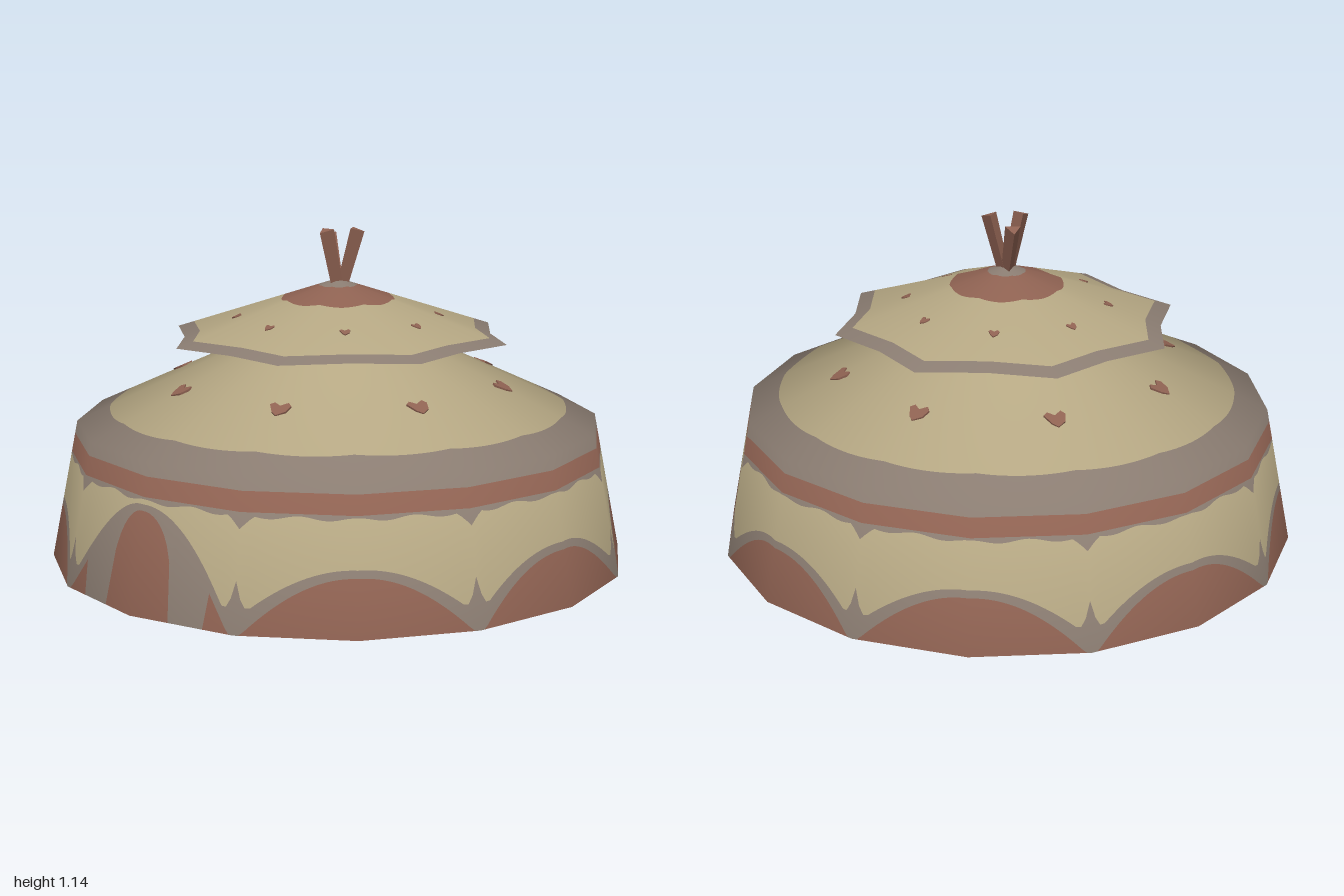
import * as THREE from 'three';

const SIDES = 16;          // facets round the tent
const SUB = 24;            // columns per facet, for the painted borders
const mat = (name, color) => new THREE.MeshStandardMaterial({ name, color, side: THREE.DoubleSide });

// Point on the rim polygon; a counts facets from the front towards +x
function rim(a, radius) {
  const i = Math.floor(a), f = a - i;
  const at = k => {
    const th = k * Math.PI * 2 / SIDES, r = radius(k);
    return new THREE.Vector2(Math.sin(th) * r, Math.cos(th) * r);
  };
  return at(i).lerp(at(i + 1), f);
}

// Smooth normal round the axis with a given upward tilt
const tilted = (a, e) => {
  const th = a * Math.PI * 2 / SIDES;
  return [Math.sin(th) * Math.cos(e), Math.sin(e), Math.cos(th) * Math.cos(e)];
};

// Strip of a surface between two borders lo(a) and hi(a)
function band(name, surface, lo, hi, material) {
  const pos = [], nor = [], idx = [], n = SIDES * SUB;
  for (let i = 0; i <= n; i++) {
    const a = i / SUB;
    for (const t of [lo(a), hi(a)]) {
      const s = surface(a, t);
      pos.push(...s.p);
      nor.push(...s.n);
    }
    if (i < n) idx.push(2 * i, 2 * i + 2, 2 * i + 3, 2 * i, 2 * i + 3, 2 * i + 1);
  }
  const g = new THREE.BufferGeometry();
  g.setAttribute('position', new THREE.Float32BufferAttribute(pos, 3));
  g.setAttribute('normal', new THREE.Float32BufferAttribute(nor, 3));
  g.setIndex(idx);
  const m = new THREE.Mesh(g, material);
  m.name = name;
  return m;
}

export function createModel() {
  const tan = mat('tan hide', 0xb5a783);
  const gray = mat('gray trim', 0x8b7d72);
  const red = mat('red brown', 0x8f6252);
  const model = new THREE.Group();
  model.name = 'tent';

  const EAVE_R = 0.905, EAVE_Y = 0.48, ROOF_TOP = 0.895;
  const E_WALL = 0.2, E_EAVE = 0.66, E_ROOF = 1.14;

  // Wall: t is the height
  const wall = (a, y) => {
    const k = y / EAVE_Y;
    const v = rim(a, () => 1 - (1 - EAVE_R) * k);
    return { p: [v.x, y, v.y], n: tilted(a, E_WALL + (E_EAVE - E_WALL) * k) };
  };

  // Painted borders on the wall
  const fromDoor = a => Math.min(a, SIDES - a);
  const fromArch = a => Math.abs(a - 2 * Math.round(a / 2));
  const redTop = a => {
    const d = fromDoor(a), u = fromArch(a);
    if (d < 0.37) return 0.33 * Math.pow(1 - (d / 0.37) ** 2, 0.35);
    if (d < 0.72) return 0;
    if (d < 0.95) return 0.13 * (0.95 - d) / 0.23;
    return Math.max(0, 0.185 * (1 - (u / 0.95) ** 2));
  };
  const grayTop = a => {
    const d = fromDoor(a), u = fromArch(a);
    const spike = 0.12 * Math.max(0, 1 - (1 - u) / 0.12) ** 2;
    const arch = 0.045 + 0.165 * (1 - u * u) + spike;
    return d < 1 ? Math.max(arch, 0.35 * (1 - d * d)) : arch;
  };
  const fringe = a => {
    const drip = 0.045 * Math.max(0, 1 - (1 - fromArch(a)) / 0.12);
    return 0.36 + 0.006 * Math.cos(a * Math.PI * 4) - drip;
  };
  const flat = v => () => v;
  const wallRows = [
    ['wallArches', flat(0), redTop, red],
    ['archTrim', redTop, grayTop, gray],
    ['wallHide', grayTop, fringe, tan],
    ['fringe', fringe, flat(0.373), gray],
    ['redBelt', flat(0.373), flat(0.437), red],
    ['eaveTrimLower', flat(0.437), flat(EAVE_Y), gray],
  ];
  for (const [name, lo, hi, m] of wallRows) model.add(band(name, wall, lo, hi, m));

  // Roof and cap: t is 1 at the rim and 0 at the apex
  const cone = (radius, rimY, topY, e0, e1) => (a, t) => {
    const v = rim(a, radius);
    return { p: [v.x * t, topY + (rimY - topY) * t, v.y * t], n: tilted(a, e1 + (e0 - e1) * t) };
  };
  const roofRadius = () => EAVE_R;
  const capRadius = k => (k % 2 ? 0.6 : 0.53);
  const ring = (radius, r) => a => r / rim(a, radius).length();

  function paintedCone(name, surface, radius, inner, redR, grayR) {
    const g = new THREE.Group();
    g.name = name;
    g.add(
      band(name + 'Trim', surface, flat(1), inner, gray),
      band(name + 'Hide', surface, inner, ring(radius, redR), tan),
      band(name + 'RedCentre', surface, ring(radius, redR), ring(radius, grayR), red),
      band(name + 'GrayCentre', surface, ring(radius, grayR), flat(0), gray));
    model.add(g);
  }
  paintedCone('roof', cone(roofRadius, EAVE_Y, ROOF_TOP, E_EAVE, E_ROOF),
    roofRadius, ring(roofRadius, 0.79), 0.31, 0.11);
  paintedCone('cap', cone(capRadius, 0.77, 0.97, 1.2, 1.3),
    capRadius, flat(0.9), 0.195, 0.065);

  // Eight small painted spots on the roof and on the cap
  const spot = new THREE.Shape([[-0.036, 0.022], [-0.022, 0.034], [0, 0.018], [0.024, 0.036],
    [0.037, 0.02], [0.028, -0.012], [0, -0.034], [-0.018, -0.016]].map(q => new THREE.Vector2(...q)));
  const spotGeo = new THREE.ExtrudeGeometry(spot, { depth: 0.008, bevelEnabled: false });
  spotGeo.translate(0, 0, -0.004);
  function spots(name, first, r, y, e, size) {
    for (let k = first; k < SIDES; k += 2) {
      const th = k * Math.PI * 2 / SIDES;
      const m = new THREE.Mesh(spotGeo, red);
      m.name = name;
      m.position.set(Math.sin(th) * r, y, Math.cos(th) * r);
      m.rotation.set(-e, th, 0, 'YXZ');
      m.scale.set(size, size, 1);
      model.add(m);
    }
  }
  spots('roofSpot', 1, 0.59, ROOF_TOP - 0.59 * (ROOF_TOP - EAVE_Y) / EAVE_R, 1.14, 1);
  spots('capSpot', 0, 0.35, 0.97 - 0.35 * 0.2 / 0.53, 1.22, 0.5);

  // Three pole ends leaning out of the top
  const poles = [[0, 0.065, 1.14], [0.052, -0.034, 1.14], [-0.072, -0.028, 1.115]];
  for (const [x, z, y] of poles) {
    const base = new THREE.Vector3(x * 0.2, 0.955, z * 0.2);
    const dir = new THREE.Vector3(x, y, z).sub(base);
    const geo = new THREE.CylinderGeometry(0.03, 0.024, dir.length(), 3).toNonIndexed();
    geo.computeVertexNormals();
    const pole = new THREE.Mesh(geo, red);
    pole.name = 'poleEnd';
    pole.position.copy(base).addScaledVector(dir, 0.5);
    pole.quaternion.setFromUnitVectors(new THREE.Vector3(0, 1, 0), dir.normalize());
    model.add(pole);
  }
  return model;
}
